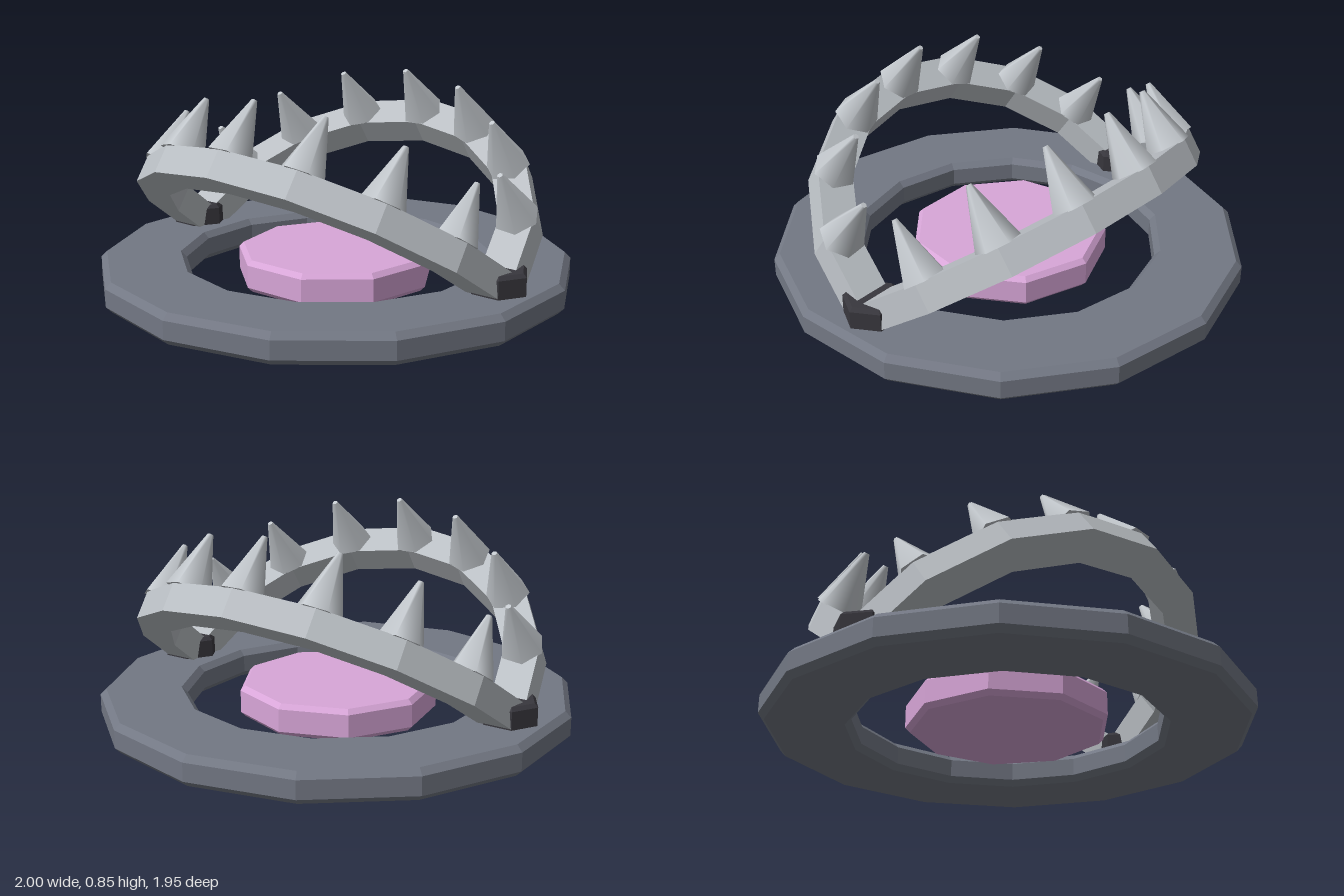
import * as THREE from 'three';

const mat = (name, color) => {
  const m = new THREE.MeshStandardMaterial({ color });
  m.name = name;
  return m;
};

// Lathe with hard facets; points run counter-clockwise in (radius, height)
function facetedLathe(points, segments, start = 0, length = Math.PI * 2) {
  const g = new THREE.LatheGeometry(points.map(([r, y]) => new THREE.Vector2(r, y)), segments, start, length).toNonIndexed();
  g.computeVertexNormals();
  return g;
}

function addMesh(parent, name, geometry, material) {
  const mesh = new THREE.Mesh(geometry, material);
  mesh.name = name;
  parent.add(mesh);
  return mesh;
}

export function createModel() {
  const model = new THREE.Group();
  model.name = 'jawTrap';
  const ringMat = mat('slate grey', 0x737884);
  const plateMat = mat('plum pink', 0xd8a6d8);
  const jawMat = mat('light steel', 0xbabfc4);
  const toothMat = mat('pale steel', 0xc4c9ce);
  const hingeMat = mat('dark iron', 0x38373d);

  // Base ring, chamfered on every edge
  addMesh(model, 'baseRing', facetedLathe([
    [0.635, 0.025], [0.66, 0], [0.975, 0], [1, 0.025], [1, 0.1],
    [0.975, 0.125], [0.66, 0.125], [0.635, 0.1], [0.635, 0.025],
  ], 14, Math.PI / 2), ringMat);

  // Nine-sided trigger plate in the middle
  addMesh(model, 'triggerPlate', facetedLathe([
    [0, 0.015], [0.4, 0.015], [0.42, 0.035], [0.42, 0.13], [0.4, 0.15], [0, 0.15],
  ], 9, Math.PI / 2), plateMat);

  // Hexagonal hinge blocks, front and back
  const hingeGeo = facetedLathe([
    [0, 0.005], [0.105, 0.005], [0.12, 0.02], [0.12, 0.2], [0.105, 0.215], [0, 0.215],
  ], 6);
  for (const side of [1, -1]) {
    addMesh(model, side > 0 ? 'frontHinge' : 'backHinge', hingeGeo, hingeMat).position.z = side * 0.81;
  }

  // Two half-ring jaws opened 35 degrees above the base, seven teeth each
  const jawGeo = facetedLathe([
    [0.735, -0.06], [0.885, -0.06], [0.885, 0.06], [0.735, 0.06], [0.735, -0.06],
  ], 8, 0, Math.PI);
  const toothGeo = new THREE.CylinderGeometry(0.012, 0.094, 0.245, 6);
  for (const side of [1, -1]) {
    const half = new THREE.Group();
    half.name = side > 0 ? 'leftJaw' : 'rightJaw';
    half.position.y = 0.131;
    half.rotation.y = side > 0 ? 0 : Math.PI;
    model.add(half);
    const jaw = new THREE.Group();
    jaw.name = 'jawTilt';
    jaw.rotation.z = THREE.MathUtils.degToRad(35);
    half.add(jaw);
    addMesh(jaw, 'jawBar', jawGeo, jawMat);
    for (let i = -3; i <= 3; i++) {
      const a = i * Math.PI / 8;
      const tooth = addMesh(jaw, 'tooth', toothGeo, toothMat);
      tooth.position.set(0.81 * Math.cos(a), 0.18, 0.81 * Math.sin(a));
      tooth.rotation.y = -a;
    }
  }
  return model;
}
